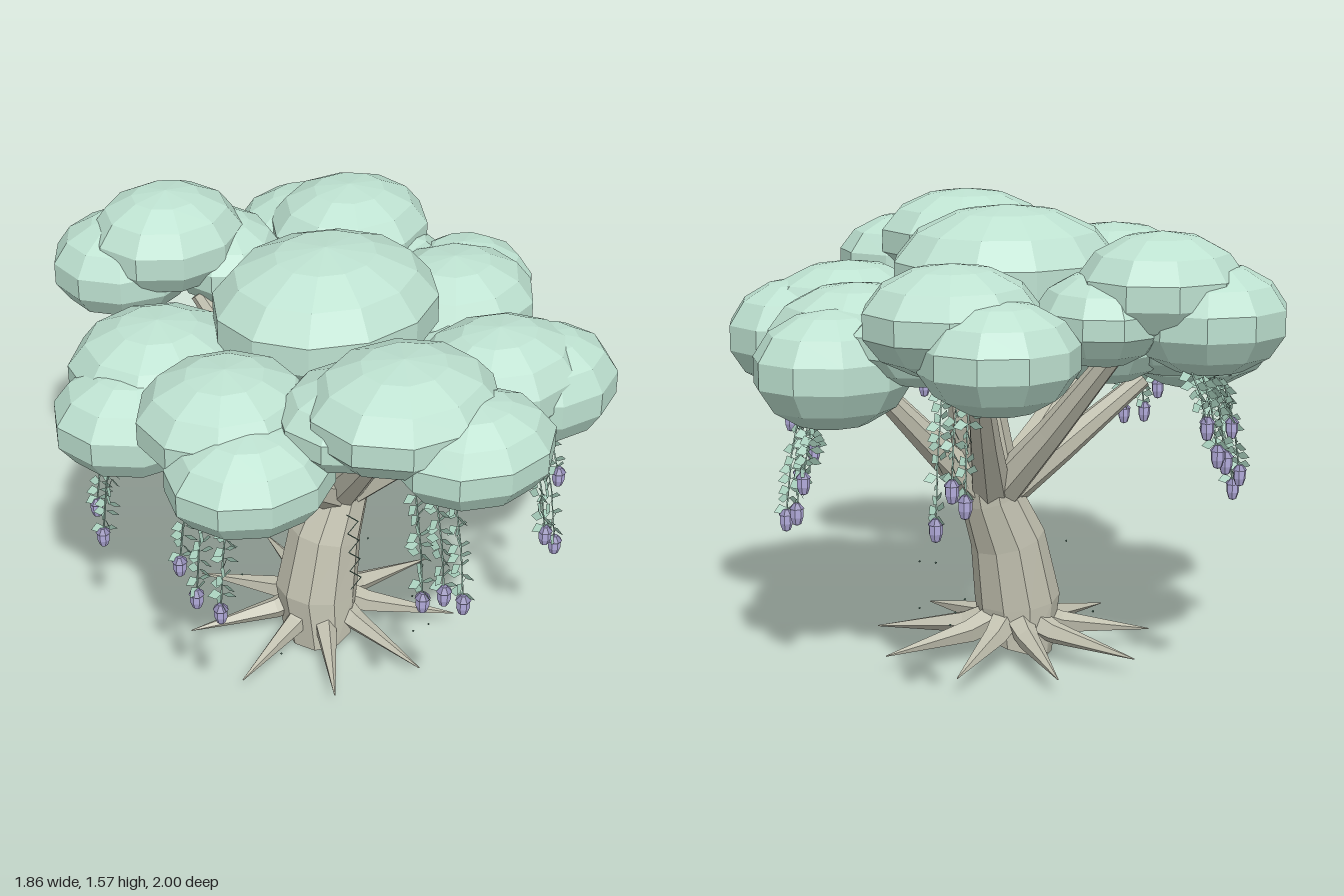
import * as THREE from 'three';
import { mergeGeometries } from 'three/addons/utils/BufferGeometryUtils.js';

const V = (x, y, z) => new THREE.Vector3(x, y, z);

function material(name, color, side = THREE.FrontSide) {
  const m = new THREE.MeshStandardMaterial({ color, flatShading: true, side });
  m.name = name;
  return m;
}

// Seeded random numbers
function seeded(seed) {
  return () => (seed = (seed * 16807) % 2147483647) / 2147483647;
}

// Tapered limb through points, with one radius per point and closed ends
function limb(points, radii, sides) {
  const pos = [], index = [], n = points.length;
  points.forEach((p, i) => {
    const t = points[Math.min(i + 1, n - 1)].clone().sub(points[Math.max(i - 1, 0)]).normalize();
    const q = new THREE.Quaternion().setFromUnitVectors(V(0, 1, 0), t);
    for (let j = 0; j < sides; j++) {
      const a = (j / sides) * Math.PI * 2;
      const v = V(Math.sin(a) * radii[i], 0, Math.cos(a) * radii[i]).applyQuaternion(q).add(p);
      pos.push(v.x, v.y, v.z);
    }
  });
  for (let i = 0; i < n - 1; i++) {
    for (let j = 0; j < sides; j++) {
      const a = i * sides + j, b = i * sides + (j + 1) % sides;
      index.push(a, b, b + sides, a, b + sides, a + sides);
    }
  }
  const first = n * sides, last = first + 1, top = (n - 1) * sides;
  for (const p of [points[0], points[n - 1]]) pos.push(p.x, p.y, p.z);
  for (let j = 0; j < sides; j++) {
    const k = (j + 1) % sides;
    index.push(first, k, j, last, top + j, top + k);
  }
  const g = new THREE.BufferGeometry();
  g.setAttribute('position', new THREE.Float32BufferAttribute(pos, 3));
  g.setIndex(index);
  g.computeVertexNormals();
  return g;
}

export function createModel() {
  const tree = new THREE.Group();
  tree.name = 'tree';
  const rand = seeded(77);
  const bark = material('bark', 0xc2c1b0);
  const foliage = material('foliage', 0xbde1d0);
  const leafGreen = material('leafGreen', 0xabd3c0, THREE.DoubleSide);
  const creeperGreen = material('creeperGreen', 0x5f8574);
  const violet = material('violet', 0xb2abdb);
  const capMauve = material('capMauve', 0x918bb4);

  const add = (name, geometry, mat, parent = tree) => {
    const m = new THREE.Mesh(geometry, mat);
    m.name = name;
    parent.add(m);
    return m;
  };

  // Trunk, leaning to the left, with a slanted foot
  const trunk = limb(
    [V(-0.025, 0.03, -0.035), V(-0.025, 0.2, -0.045), V(0.015, 0.42, -0.06), V(0.08, 0.58, -0.08), V(0.13, 0.85, -0.09), V(0.165, 1.12, -0.09)],
    [0.12, 0.148, 0.13, 0.108, 0.1, 0.06], 10);
  const tp = trunk.attributes.position;
  for (let i = 0; i < tp.count; i++) {
    if (tp.getY(i) < 0.1) {
      tp.setY(i, 0.03 + 0.25 * (tp.getX(i) + 0.025));
      tp.setZ(i, -0.035 + 1.3 * (tp.getZ(i) + 0.035));
    }
  }
  add('trunk', trunk, bark);

  // Roots: a star of nine long spikes
  const roots = new THREE.Group();
  roots.name = 'roots';
  tree.add(roots);
  for (let i = 0; i < 9; i++) {
    const a = ((21 + i * 40) / 180) * Math.PI;
    const at = (r, y) => V(Math.sin(a) * r, y, -0.065 + Math.cos(a) * r);
    add('root', limb([at(0.04, 0.15), at(0.17, 0.105), at(0.485, 0.066)], [0.055, 0.04, 0.002], 5), bark, roots);
  }

  // Branches: one towards each crown cluster
  const branches = new THREE.Group();
  branches.name = 'branches';
  tree.add(branches);
  const ends = [[-0.42, 1.03, 0.28], [-0.46, 0.96, -0.1], [-0.24, 1.2, -0.55], [0.28, 1.18, -0.58],
    [0.52, 1.02, -0.2], [0.48, 1.0, 0.27], [0.02, 1.22, 0.5]];
  for (const [x, y, z] of ends) {
    const start = V(0.075, 0.56, -0.075), end = V(x, y, z);
    const mid = start.clone().lerp(end, 0.45);
    mid.y -= 0.01;
    add('branch', limb([start, mid, end], [0.075, 0.052, 0.032], 7), bark, branches);
  }

  // Crown: flattened faceted puffs as x, y, z, rx, ry, rz
  const crown = new THREE.Group();
  crown.name = 'crown';
  tree.add(crown);
  const puff = (list, sides) => list.forEach(([x, y, z, rx, ry, rz], i) => {
    const g = new THREE.SphereGeometry(1, sides, 7);
    g.rotateY(i * 0.37);
    g.scale(rx * 1.035, ry, rz * 1.035);
    add('foliagePuff', g, foliage, crown).position.set(x, y, z);
  });
  puff([[0.02, 1.345, -0.065, 0.385, 0.23, 0.33]], 12);
  puff([
    // front
    [-0.03, 1.37, 0.61, 0.31, 0.18, 0.275], [0.13, 1.28, 0.775, 0.265, 0.17, 0.22], [-0.15, 1.32, 0.52, 0.25, 0.15, 0.22],
    // front right
    [-0.49, 1.265, 0.29, 0.285, 0.185, 0.27], [-0.5, 1.185, 0.5, 0.27, 0.17, 0.23], [-0.46, 1.17, 0.16, 0.25, 0.14, 0.2],
    // right
    [-0.53, 1.18, -0.19, 0.3, 0.19, 0.28], [-0.66, 1.1, -0.08, 0.275, 0.185, 0.24], [-0.28, 1.13, -0.22, 0.22, 0.15, 0.2],
    // back right
    [-0.3, 1.375, -0.68, 0.265, 0.18, 0.24], [-0.44, 1.28, -0.74, 0.25, 0.18, 0.225], [-0.11, 1.28, -0.64, 0.2, 0.15, 0.23],
    // back left
    [0.36, 1.29, -0.6, 0.285, 0.18, 0.26], [0.26, 1.2, -0.775, 0.25, 0.18, 0.225], [0.35, 1.2, -0.45, 0.3, 0.15, 0.15],
    // left
    [0.56, 1.165, -0.17, 0.29, 0.19, 0.26], [0.68, 1.105, -0.33, 0.255, 0.195, 0.215], [0.53, 1.09, 0.06, 0.25, 0.15, 0.21],
    // front left
    [0.48, 1.165, 0.3, 0.295, 0.19, 0.245], [0.645, 1.105, 0.315, 0.255, 0.195, 0.225], [0.27, 1.09, 0.33, 0.28, 0.15, 0.23],
  ], 10);

  // Hanging vines: strands with leaf pairs and a bud, as top y then bud x, y, z
  const vines = [
    [1.17, -0.08, 0.82, 0.87], [1.17, -0.01, 0.83, 0.88], [1.17, 0.06, 0.77, 0.88],
    [1.08, -0.67, 0.72, 0.44], [1.08, -0.62, 0.7, 0.52], [1.08, -0.7, 0.82, 0.38],
    [1.0, -0.77, 0.57, -0.18], [1.0, -0.76, 0.64, -0.26], [1.0, -0.71, 0.82, -0.3],
    [1.15, -0.43, 0.87, -0.85], [1.15, -0.38, 0.97, -0.88], [1.15, -0.47, 0.84, -0.82],
    [1.08, 0.46, 0.68, -0.76], [1.08, 0.4, 0.78, -0.88], [1.08, 0.43, 0.82, -0.84],
    [1.0, 0.8, 0.57, -0.12], [1.0, 0.78, 0.61, -0.2], [1.0, 0.77, 0.73, -0.27],
    [1.0, 0.63, 0.55, 0.49], [1.0, 0.57, 0.63, 0.52], [1.0, 0.67, 0.78, 0.42],
  ];
  const leafShape = new THREE.Shape([[0, 0], [0.026, 0.014], [0.046, -0.012], [0.02, -0.02]].map(([x, y]) => new THREE.Vector2(x, y)));
  const leafBase = new THREE.ShapeGeometry(leafShape);
  const hanging = new THREE.Group();
  hanging.name = 'hangingVines';
  tree.add(hanging);
  for (const [topY, x, y, z] of vines) {
    const top = V(x * 0.91, topY, z * 0.91), bud = V(x, y, z);
    const strand = limb([top, top.clone().lerp(bud, 0.5).add(V(x * 0.015, 0, z * 0.015)), bud], [0.003, 0.003, 0.003], 4);
    add('vineStem', strand, leafGreen, hanging);
    const leaves = [], count = Math.round((topY - y) / 0.032);
    for (let i = 0; i < count; i++) {
      const p = top.clone().lerp(bud, i / count);
      const turn = rand() * Math.PI;
      for (const side of [0, Math.PI]) {
        leaves.push(leafBase.clone().rotateX(0.4).rotateY(turn + side).translate(p.x, p.y, p.z));
      }
    }
    add('vineLeaves', mergeGeometries(leaves), leafGreen, hanging);

    // Bud with a cap
    const profile = [[0, -0.048], [0.014, -0.042], [0.022, -0.018], [0.022, 0.012], [0, 0.012]];
    add('bud', new THREE.LatheGeometry(profile.map(([r, h]) => new THREE.Vector2(r, h)), 7), violet, hanging).position.copy(bud);
    add('budCap', new THREE.CylinderGeometry(0.01, 0.026, 0.018, 7), capMauve, hanging).position.set(x, y + 0.02, z);
  }

  // Zigzag creeper up the front of the trunk
  const creeper = [];
  for (let i = 0; i <= 8; i++) {
    const y = 0.26 + i * 0.038;
    creeper.push(V(0.06 + (i % 2 ? 0.022 : -0.02), y, 0.105 - (y - 0.26) * 0.13));
  }
  for (let i = 0; i < 8; i++) {
    add('creeper', limb([creeper[i], creeper[i + 1]], [0.002, 0.002], 4), creeperGreen);
  }

  // Drifting specks around the trunk
  for (const [x, y, z] of [[-0.33, 0.27, 0.33], [-0.24, 0.18, -0.23], [0.16, 0.22, 0.36], [0.22, 0.27, -0.24],
    [0.22, 0.23, 0.36], [0.27, 0.18, -0.23], [0.29, 0.14, 0.1], [0.29, 0.27, -0.37]]) {
    add('speck', new THREE.OctahedronGeometry(0.005), creeperGreen).position.set(x, y, z);
  }
  return tree;
}
